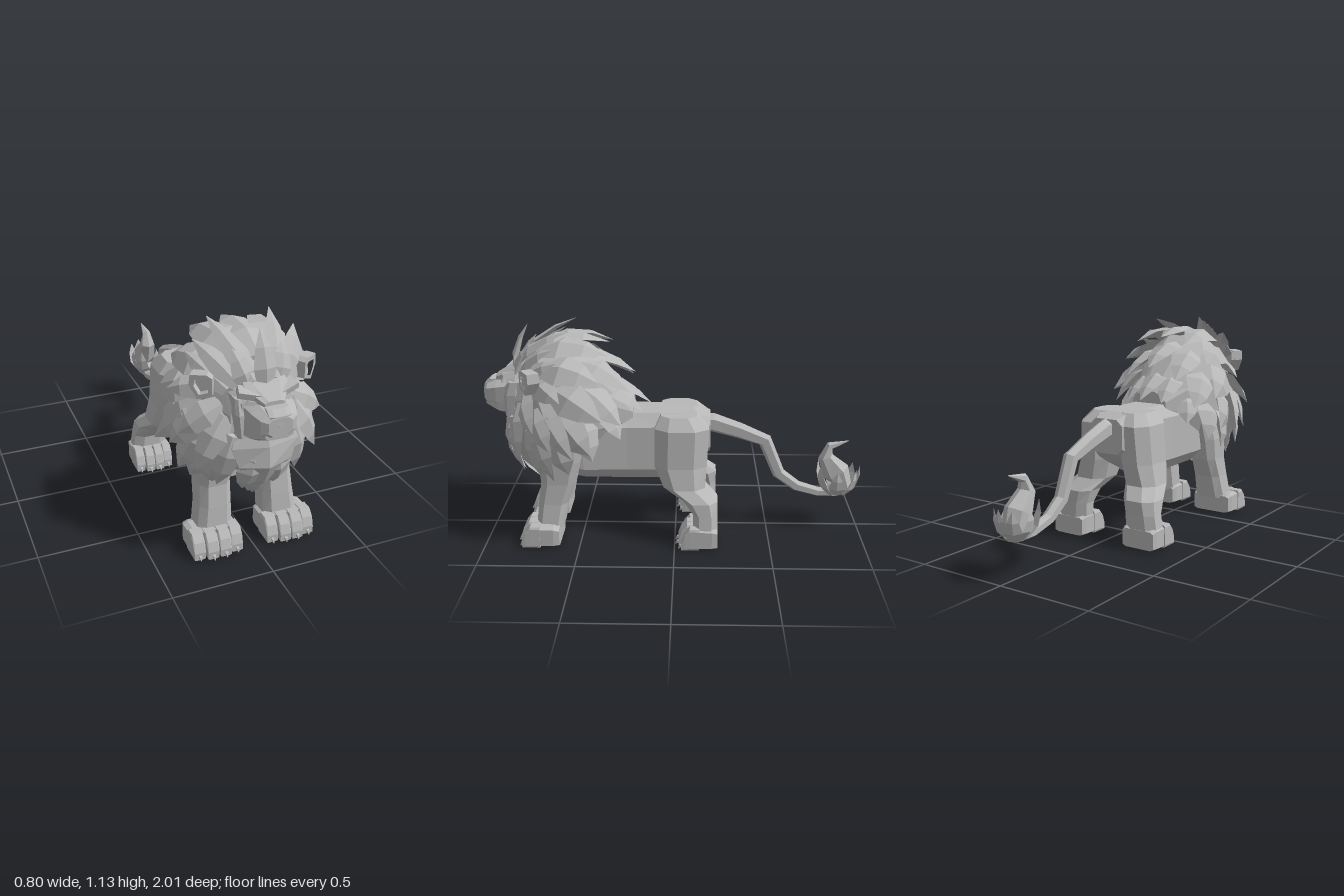
import * as THREE from 'three';

const V = (x, y, z) => new THREE.Vector3(x, y, z);
const stone = new THREE.MeshStandardMaterial({ color: 0xb8b8b8 });
stone.name = 'stone grey';

// Joins rings of points into a closed, flat-shaded skin
function skin(rings) {
  const n = rings[0].length, last = rings.length - 1, pos = [];
  const tri = (...pts) => pts.forEach(p => pos.push(p.x, p.y, p.z));
  for (let i = 0; i < last; i++) {
    for (let k = 0; k < n; k++) {
      const a = rings[i][k], b = rings[i][(k + 1) % n];
      const c = rings[i + 1][(k + 1) % n], d = rings[i + 1][k];
      tri(a, b, c);
      tri(a, c, d);
    }
  }
  for (let k = 1; k < n - 1; k++) {
    tri(rings[0][0], rings[0][k + 1], rings[0][k]);
    tri(rings[last][0], rings[last][k], rings[last][k + 1]);
  }
  const g = new THREE.BufferGeometry();
  g.setAttribute('position', new THREE.Float32BufferAttribute(pos, 3));
  g.computeVertexNormals();
  return g;
}

// Sections [x, y, z, halfWidth, halfDepth]; tilt 0 runs to +z, PI/2 runs down, none follows the path
function loft(sections, { tilt, sides = 8, power = 0.6 } = {}) {
  const bend = t => Math.sign(t) * Math.pow(Math.abs(t), power);
  return skin(sections.map(([x, y, z, a, b], i) => {
    const p = sections[Math.max(0, i - 1)], q = sections[Math.min(sections.length - 1, i + 1)];
    const r = tilt ?? Math.atan2(p[1] - q[1], q[2] - p[2]);
    return Array.from({ length: sides }, (_, k) => {
      const f = (k + 0.5) / sides * Math.PI * 2;
      const u = a * bend(Math.cos(f)), v = b * bend(Math.sin(f));
      return V(x + u, y + v * Math.cos(r), z + v * Math.sin(r));
    });
  }));
}

// Pointed leaf of hair with a raised ridge, bowed away from a centre
function tuft(base, tip, w, centre, bow) {
  const d = tip.clone().sub(base), len = d.length();
  d.normalize();
  const out = base.clone().lerp(tip, 0.5).sub(centre);
  out.addScaledVector(d, -out.dot(d)).normalize();
  const side = out.clone().cross(d);
  return skin([[0, 0.6], [0.35, 1], [0.7, 0.68], [1, 0.02]].map(([t, s]) => {
    const c = base.clone().lerp(tip, t).addScaledVector(out, Math.sin(Math.PI * t) * bow * len);
    return [[1, 0], [0, 0.35], [-1, 0], [0, -0.3]].map(([u, v]) =>
      c.clone().addScaledVector(side, u * w * s).addScaledVector(out, v * w * s));
  }));
}

const DOWN = { tilt: Math.PI / 2 };
const BACK = { tilt: 0 };

export function createModel() {
  const model = new THREE.Group();
  model.name = 'lion';
  const add = (name, geometry, parent = model) => {
    const m = new THREE.Mesh(geometry, stone);
    m.name = name;
    parent.add(m);
    return m;
  };

  // Torso, mane core and beard
  add('torso', loft([
    [0, 0.56, -0.185, 0.105, 0.095], [0, 0.54, -0.10, 0.14, 0.145], [0, 0.50, 0.08, 0.14, 0.19],
    [0, 0.50, 0.25, 0.15, 0.19], [0, 0.51, 0.48, 0.18, 0.19], [0, 0.53, 0.70, 0.17, 0.17]], { ...BACK, power: 0.5 }));
  add('maneCore', loft([
    [0, 0.67, 0.22, 0.11, 0.08], [0, 0.70, 0.40, 0.20, 0.26], [0, 0.71, 0.56, 0.255, 0.345],
    [0, 0.71, 0.69, 0.235, 0.33], [0, 0.70, 0.82, 0.16, 0.21]], { ...BACK, sides: 12, power: 0.9 }));
  add('beard', loft([
    [0, 0.74, 0.80, 0.13, 0.07], [0, 0.62, 0.82, 0.19, 0.085], [0, 0.52, 0.82, 0.15, 0.10],
    [0, 0.41, 0.78, 0.08, 0.085], [0, 0.27, 0.70, 0.01, 0.01]], { ...DOWN, sides: 6, power: 1 }));

  // Mane: rows of tufts [base, tip], mirrored when off the centre line
  const mane = new THREE.Group();
  mane.name = 'mane';
  model.add(mane);
  const heart = V(0, 0.68, 0.55);
  const row = (name, w, bow, pairs) => {
    for (const [b, t] of pairs) {
      for (const s of t[0] ? [1, -1] : [1]) {
        add(name, tuft(V(b[0] * s, b[1], b[2]), V(t[0] * s, t[1], t[2]), w, heart, bow), mane);
      }
    }
  };
  row('foreheadTuft', 0.055, 0.08, [
    [[0, 0.88, 0.84], [0, 1.135, 0.76]],
    [[0.05, 0.92, 0.83], [0.155, 1.13, 0.53]],
    [[0.07, 0.89, 0.82], [0.12, 1.05, 0.74]],
    [[0.11, 0.90, 0.79], [0.25, 1.06, 0.60]],
    [[0.15, 0.87, 0.77], [0.28, 1.00, 0.58]]]);
  row('cheekTuft', 0.07, 0.07, [
    [[0.17, 0.87, 0.70], [0.36, 0.82, 0.56]],
    [[0.17, 0.80, 0.76], [0.36, 0.66, 0.70]],
    [[0.17, 0.76, 0.79], [0.30, 0.50, 0.78]],
    [[0.15, 0.68, 0.84], [0.20, 0.40, 0.78]],
    [[0.18, 0.62, 0.76], [0.20, 0.34, 0.68]],
    [[0.06, 0.56, 0.88], [0.08, 0.36, 0.80]],
    [[0, 0.56, 0.88], [0, 0.28, 0.74]]]);
  row('sideTuft', 0.08, 0.07, [
    [[0.21, 0.78, 0.68], [0.40, 0.54, 0.50]],
    [[0.22, 0.74, 0.70], [0.37, 0.57, 0.62]],
    [[0.22, 0.68, 0.70], [0.33, 0.43, 0.62]],
    [[0.20, 0.58, 0.70], [0.27, 0.37, 0.62]]]);
  row('crownTuft', 0.095, 0.11, [
    [[0, 1.00, 0.76], [0, 1.04, 0.34]],
    [[0.09, 1.01, 0.70], [0.16, 1.01, 0.34]],
    [[0.17, 0.94, 0.66], [0.27, 0.90, 0.38]],
    [[0.22, 0.84, 0.60], [0.34, 0.72, 0.36]],
    [[0.23, 0.72, 0.58], [0.34, 0.54, 0.42]],
    [[0.21, 0.62, 0.60], [0.28, 0.41, 0.54]]]);
  row('neckTuft', 0.085, 0.08, [
    [[0, 0.99, 0.52], [0, 0.88, 0.21]],
    [[0.10, 0.95, 0.50], [0.16, 0.82, 0.23]],
    [[0.17, 0.84, 0.48], [0.26, 0.67, 0.27]],
    [[0.19, 0.68, 0.50], [0.27, 0.48, 0.42]]]);
  row('backTuft', 0.07, 0.06, [
    [[0, 0.85, 0.38], [0, 0.71, 0.13]],
    [[0.07, 0.83, 0.38], [0.11, 0.70, 0.17]],
    [[0.14, 0.72, 0.38], [0.21, 0.58, 0.28]]]);

  // Head: skull, muzzle, jaw and nose
  add('skull', loft([
    [0, 0.80, 0.68, 0.17, 0.13], [0, 0.79, 0.82, 0.15, 0.12], [0, 0.785, 0.87, 0.13, 0.10]], BACK));
  add('muzzle', loft([
    [0, 0.785, 0.84, 0.13, 0.09], [0, 0.78, 0.93, 0.11, 0.07], [0, 0.775, 0.98, 0.09, 0.058],
    [0, 0.775, 1.0, 0.06, 0.045]], BACK));
  add('jaw', loft([
    [0, 0.725, 0.82, 0.14, 0.06], [0, 0.725, 0.92, 0.11, 0.05], [0, 0.74, 0.99, 0.07, 0.03]], BACK));
  add('nose', loft([
    [0, 0.85, 0.95, 0.055, 0.02], [0, 0.825, 0.982, 0.055, 0.017], [0, 0.775, 0.99, 0.01, 0.012]], DOWN));
  add('forehead', loft([
    [0, 0.93, 0.78, 0.10, 0.03], [0, 0.89, 0.85, 0.11, 0.025], [0, 0.85, 0.935, 0.05, 0.02]], BACK));

  for (const s of [1, -1]) {
    // Brow, eye and cheek
    const brow = add('brow', new THREE.BoxGeometry(0.11, 0.03, 0.06));
    brow.position.set(s * 0.085, 0.885, 0.86);
    brow.rotation.set(0.2, s * 0.3, s * 0.15);
    const eye = add('eye', new THREE.BoxGeometry(0.05, 0.02, 0.008));
    eye.position.set(s * 0.085, 0.852, 0.893);
    eye.rotation.set(-0.2, s * 0.3, s * 0.2);
    add('cheek', loft([
      [s * 0.12, 0.86, 0.825, 0.028, 0.03], [s * 0.12, 0.79, 0.84, 0.032, 0.04],
      [s * 0.11, 0.675, 0.85, 0.028, 0.03]], DOWN));

    // Cupped ear
    const outline = [[-0.045, 0.05], [-0.02, 0.065], [0.055, 0.06], [0.06, 0.01], [0.02, -0.055], [-0.045, -0.03]];
    const points = k => outline.map(([x, y]) => new THREE.Vector2(s * x * k, y * k));
    const rim = new THREE.Shape(points(1));
    rim.holes.push(new THREE.Path(points(0.62)));
    const ear = new THREE.Group();
    ear.name = 'ear';
    add('earRim', new THREE.ExtrudeGeometry(rim, { depth: 0.05, bevelEnabled: false }), ear);
    add('earBack', new THREE.ExtrudeGeometry(new THREE.Shape(points(0.95)), { depth: 0.03, bevelEnabled: false }), ear)
      .position.z = -0.015;
    ear.position.set(s * 0.235, 0.89, 0.71);
    ear.rotation.y = s * 0.6;
    model.add(ear);

    // Legs
    add('frontLeg', loft([
      [s * 0.14, 0.60, 0.57, 0.09, 0.12], [s * 0.155, 0.45, 0.60, 0.09, 0.115],
      [s * 0.16, 0.33, 0.61, 0.082, 0.095], [s * 0.165, 0.22, 0.64, 0.085, 0.08],
      [s * 0.175, 0.09, 0.66, 0.095, 0.075]], DOWN));
    add('hindLeg', loft([
      [s * 0.09, 0.68, -0.02, 0.08, 0.10], [s * 0.12, 0.62, -0.035, 0.10, 0.15],
      [s * 0.135, 0.42, -0.03, 0.10, 0.145], [s * 0.16, 0.31, -0.05, 0.10, 0.115],
      [s * 0.20, 0.25, -0.135, 0.10, 0.095], [s * 0.215, 0.18, -0.16, 0.095, 0.068],
      [s * 0.225, 0.09, -0.16, 0.10, 0.068]], { ...DOWN, power: 0.8 }));

    // Paws with four toes and small claws
    const paw = (name, x, half, heel, front) => {
      const g = new THREE.Group();
      g.name = name;
      g.position.x = s * x;
      model.add(g);
      add('pawBody', loft([
        [0, 0.055, heel, half * 0.9, 0.05], [0, 0.06, heel + 0.03, half * 0.97, 0.057],
        [0, 0.062, front - 0.07, half * 0.98, 0.06]], { ...BACK, power: 0.25 }), g);
      const toe = half / 4;
      for (let i = 0; i < 4; i++) {
        const tx = (i - 1.5) * toe * 2, z = front - (i === 0 || i === 3 ? 0.015 : 0);
        add('toe', loft([
          [tx, 0.063, z - 0.10, toe, 0.061], [tx, 0.063, z - 0.05, toe, 0.061],
          [tx, 0.046, z - 0.022, toe * 0.97, 0.044], [tx, 0.022, z - 0.005, toe * 0.9, 0.02]], { ...BACK, power: 0.25 }), g);
        add('claw', loft([
          [tx, 0.026, z - 0.02, 0.012, 0.012], [tx, 0.018, z, 0.009, 0.01],
          [tx, 0.004, z + 0.01, 0.002, 0.003]], { sides: 4, power: 1 }), g);
      }
    };
    paw('frontPaw', 0.19, 0.128, 0.605, 0.82);
    paw('hindPaw', 0.225, 0.105, -0.225, -0.015);
  }

  // Tail with a curled tuft
  add('tail', loft([
    [0, 0.60, -0.10, 0.045, 0.055], [0, 0.60, -0.20, 0.044, 0.052], [0, 0.555, -0.34, 0.04, 0.044],
    [0, 0.50, -0.48, 0.037, 0.038], [0, 0.31, -0.56, 0.034, 0.034], [0, 0.235, -0.66, 0.031, 0.03],
    [0, 0.20, -0.78, 0.028, 0.026], [0, 0.20, -0.88, 0.03, 0.026]], { sides: 6, power: 0.9 }));
  add('tailCurl', loft([
    [0, 0.195, -0.83, 0.035, 0.02], [0, 0.235, -0.91, 0.06, 0.06], [0, 0.32, -0.87, 0.065, 0.075],
    [0, 0.41, -0.81, 0.045, 0.04], [0, 0.47, -0.83, 0.025, 0.024], [0, 0.50, -0.93, 0.002, 0.002]], { sides: 6, power: 1 }));
  const tailHeart = V(0, 0.30, -0.88);
  for (const [x, y, z] of [[0, 0.36, -1.0], [0.055, 0.35, -0.97], [0.075, 0.34, -0.87], [0.05, 0.37, -0.78]]) {
    for (const s of x ? [1, -1] : [1]) {
      add('tailTuft', tuft(V(s * x * 0.4, 0.195, -0.88 + (z + 0.88) * 0.4), V(s * x, y, z), 0.042, tailHeart, 0.12));
    }
  }
  return model;
}
